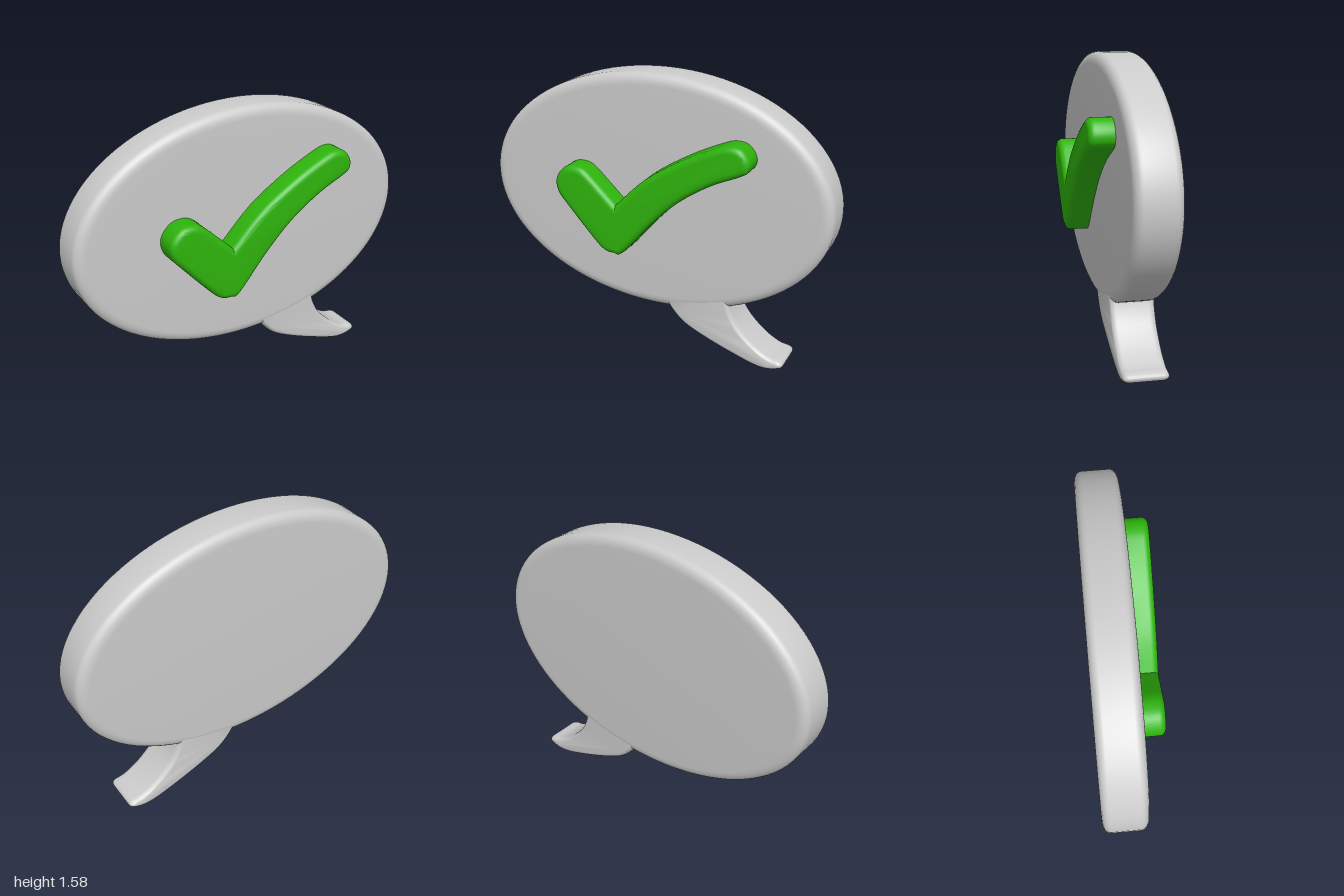
import * as THREE from 'three';
import { toCreasedNormals } from 'three/addons/utils/BufferGeometryUtils.js';

const grey = new THREE.MeshStandardMaterial({ color: 0xcccccc });
const green = new THREE.MeshStandardMaterial({ color: 0x2fb50c });

const points = (list) => list.map(([x, y]) => new THREE.Vector2(x, y));

// Smooth curve through a list of points
const smooth = (list, n) => new THREE.SplineCurve(points(list)).getPoints(n);

// Rounded slab: the outline is its widest contour, z runs from back to front
function slab(name, outline, back, front, bevelSize, bevelThickness, material) {
  const geometry = new THREE.ExtrudeGeometry(new THREE.Shape(outline), {
    depth: front - back - 2 * bevelThickness,
    bevelEnabled: true,
    bevelSize,
    bevelOffset: -bevelSize,
    bevelThickness,
    bevelSegments: 6,
    curveSegments: 1,
  });
  geometry.translate(0, 0, back + bevelThickness);
  const mesh = new THREE.Mesh(toCreasedNormals(geometry, 0.7), material);
  mesh.name = name;
  return mesh;
}

export function createModel() {
  const group = new THREE.Group();
  group.name = 'speechBubbleWithCheck';

  // Oval body
  const oval = [];
  for (let i = 0; i < 96; i++) {
    const a = (i / 96) * Math.PI * 2;
    oval.push(new THREE.Vector2(Math.cos(a), 0.922 + 0.663 * Math.sin(a)));
  }
  group.add(slab('bubbleBody', oval, -0.185, 0.055, 0.06, 0.045, grey));

  // Curved tail, rooted inside the body
  const tail = [
    ...points([[0.4, 0.5], [0.1, 0.45]]),
    ...smooth([[0.09, 0.29], [0.12, 0.245], [0.195, 0.175], [0.33, 0.11], [0.49, 0.05], [0.62, 0.01],
      [0.7, 0.005], [0.765, 0.025], [0.775, 0.05], [0.75, 0.067], [0.69, 0.08], [0.6, 0.135],
      [0.51, 0.225], [0.465, 0.31], [0.45, 0.37]], 50),
  ];
  group.add(slab('bubbleTail', tail, -0.183, 0.053, 0.024, 0.035, grey));

  // Check mark: short arm and long curved arm meeting at an inner corner
  const check = [
    ...smooth([[-0.165, 0.875], [-0.26, 0.965], [-0.35, 1.045], [-0.41, 1.062], [-0.47, 1.05],
      [-0.52, 1.0], [-0.532, 0.945], [-0.515, 0.89], [-0.47, 0.835], [-0.31, 0.66],
      [-0.24, 0.598], [-0.18, 0.587], [-0.125, 0.6], [0.04, 0.79], [0.2, 0.945], [0.38, 1.065],
      [0.53, 1.135], [0.58, 1.17], [0.586, 1.225], [0.545, 1.28], [0.48, 1.293], [0.4, 1.268],
      [0.22, 1.18], [0.01, 1.045], [-0.165, 0.875]], 96).slice(0, -1),
  ];
  group.add(slab('checkMark', check, -0.03, 0.185, 0.035, 0.035, green));

  return group;
}
